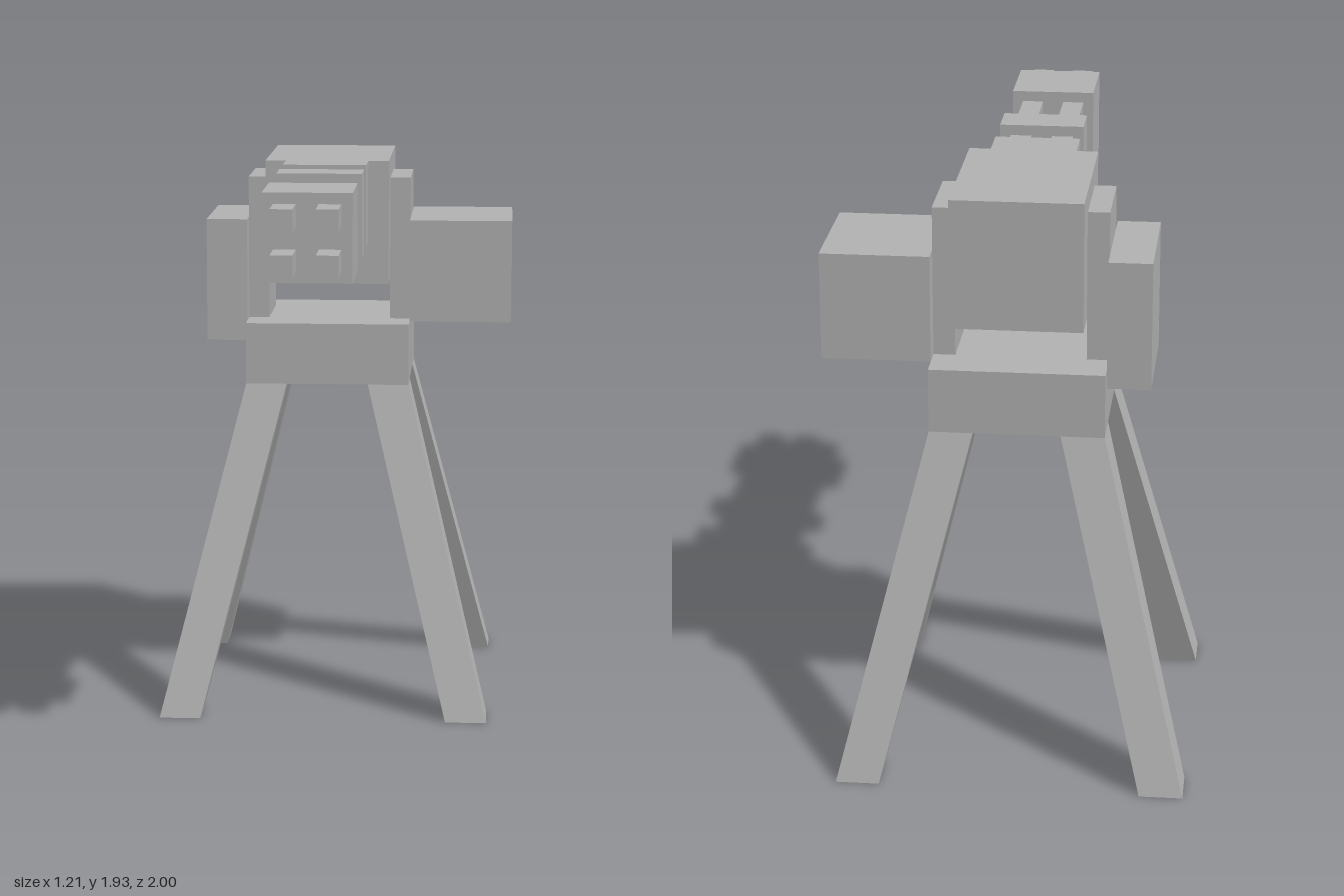
import * as THREE from 'three';

export function createModel() {
  const model = new THREE.Group();
  const grey = new THREE.MeshStandardMaterial({ color: 0xb4b4b4 });
  grey.name = 'grey metal';

  const U = 1 / 14; // the whole model sits on a grid of this size
  const CX = -0.5 * U; // centre line of base and gun
  const CZ = -6 * U;

  // Box from its lower and upper corners, in grid units
  function box(name, [x0, y0, z0], [x1, y1, z1], parent = model) {
    const geometry = new THREE.BoxGeometry((x1 - x0) * U, (y1 - y0) * U, (z1 - z0) * U);
    geometry.translate(((x0 + x1) / 2) * U, ((y0 + y1) / 2) * U, ((z0 + z1) / 2) * U);
    const mesh = new THREE.Mesh(geometry, grey);
    mesh.name = name;
    parent.add(mesh);
    return mesh;
  }

  // Base plate and the two upright brackets
  box('basePlate', [-4.5, 16, -10], [3.5, 19, -2]);
  box('rightBracket', [-4.5, 19, -8], [-3.5, 26, -4]);
  box('leftBracket', [2.5, 19, -8], [3.5, 26, -4]);

  // Gun body between the brackets
  box('gunBody', [-3.5, 21, -10], [2.5, 27, -2]);

  // Side boxes
  box('ammoBox', [3.5, 19, -9], [8.5, 24, -3]);
  box('sidePanel', [-6.5, 18, -9], [-4.5, 24, -3]);

  // Four barrels held by a mount and two collars
  const barrels = new THREE.Group();
  barrels.name = 'barrelCluster';
  model.add(barrels);
  for (const [name, z0, z1] of [['barrelMount', -2, 0], ['barrelCollar', 2, 4], ['muzzleCollar', 8, 12]]) {
    box(name, [-2.5, 23, z0], [1.5, 27, z1], barrels);
  }
  for (const x of [-2, 0]) {
    for (const y of [23.5, 25.5]) box('barrel', [x, y, 0], [x + 1, y + 1, 14], barrels);
  }

  // Splayed legs: square posts sheared outward towards the floor
  const legHeight = 16 * U;
  for (const sx of [-1, 1]) {
    for (const sz of [-1, 1]) {
      const geometry = new THREE.BoxGeometry(2 * U, legHeight, 2 * U);
      geometry.translate(0, legHeight / 2, 0);
      const p = geometry.attributes.position;
      for (let i = 0; i < p.count; i++) {
        const offset = (3 + 4 * (1 - p.getY(i) / legHeight)) * U;
        p.setX(i, p.getX(i) + sx * offset);
        p.setZ(i, p.getZ(i) + sz * offset);
      }
      geometry.computeVertexNormals();
      const leg = new THREE.Mesh(geometry, grey);
      leg.name = (sz > 0 ? 'front' : 'back') + (sx > 0 ? 'Left' : 'Right') + 'Leg';
      leg.position.set(CX, 0, CZ);
      model.add(leg);
    }
  }

  return model;
}
